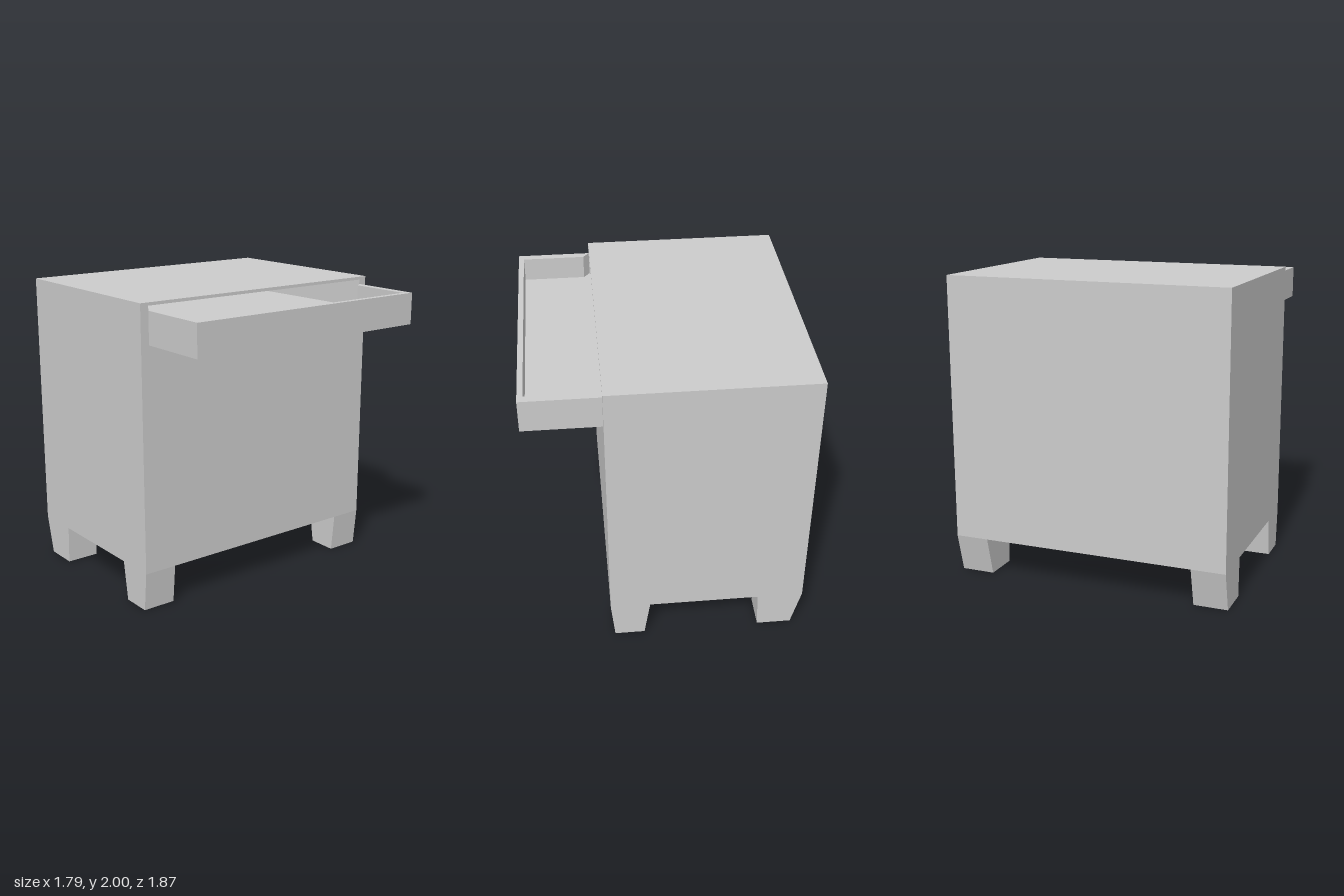
import * as THREE from 'three';

const material = new THREE.MeshStandardMaterial({ color: 0xcccccc, flatShading: true });

// Prism from a list of [x, y] corners, extruded along +z
function prism(points, depth, hole) {
  const shape = new THREE.Shape(points.map(([x, y]) => new THREE.Vector2(x, y)));
  if (hole) shape.holes.push(new THREE.Path(hole.map(([x, y]) => new THREE.Vector2(x, y))));
  return new THREE.ExtrudeGeometry(shape, { depth, bevelEnabled: false });
}

const rect = (x0, y0, x1, y1) => [[x0, y0], [x1, y0], [x1, y1], [x0, y1]];

export function createModel() {
  const group = new THREE.Group();
  const add = (name, geometry, x = 0, y = 0, z = 0) => {
    const mesh = new THREE.Mesh(geometry, material);
    mesh.name = name;
    mesh.position.set(x, y, z);
    group.add(mesh);
  };

  const left = -0.895, face = 0.405, back = -0.8, halfDepth = 0.935;
  const bottom = 0.26, top = 2;
  const drawerHalf = 0.878, drawerBase = 1.74, drawerFloor = 1.79, drawerTop = 1.95;

  // Cabinet shell, with a drawer opening that narrows towards its inner end
  const cabinet = prism(
    rect(-halfDepth, bottom, halfDepth, top), face - back,
    rect(-drawerHalf, drawerFloor, drawerHalf, 1.98));
  const p = cabinet.attributes.position;
  for (let i = 0; i < p.count; i++) {
    const inOpening = Math.abs(p.getX(i)) < 0.9 && p.getY(i) > 1.7 && p.getY(i) < 1.99;
    if (inOpening && p.getZ(i) < 0.01) {
      p.setX(i, p.getX(i) * 0.94);
      if (p.getY(i) > 1.9) p.setY(i, 1.92);
    }
  }
  cabinet.computeVertexNormals();
  cabinet.rotateY(Math.PI / 2);
  add('cabinet', cabinet, back);

  // Panel closing the inner end of the opening
  add('endPanel', new THREE.BoxGeometry(back - left, top - bottom, 2 * halfDepth),
    (left + back) / 2, (top + bottom) / 2, 0);

  // Tapered legs at the four corners
  const legWidth = 0.225;
  const profiles = {
    Right: [[-0.83, 0], [-0.6, 0], [-0.59, bottom], [left, bottom]],
    Left: [[0.18, 0], [0.38, 0], [face, bottom], [0.14, bottom]],
  };
  for (const [side, profile] of Object.entries(profiles)) {
    add('front' + side + 'Leg', prism(profile, legWidth), 0, 0, halfDepth - legWidth);
    add('back' + side + 'Leg', prism(profile, legWidth), 0, 0, -halfDepth);
  }

  // Pulled-out drawer: floor, and a rim mitred where it meets the cabinet
  const end = 0.895, inner = 0.825;
  add('drawerFloor', new THREE.BoxGeometry(end - face, drawerFloor - drawerBase, 2 * drawerHalf),
    (end + face) / 2, (drawerFloor + drawerBase) / 2, 0);
  const rim = prism([
    [face, -drawerHalf], [end, -drawerHalf], [end, drawerHalf], [face, drawerHalf],
    [0.445, inner], [0.86, inner], [0.86, -inner], [0.445, -inner],
  ], drawerTop - drawerFloor);
  rim.rotateX(-Math.PI / 2);
  add('drawerRim', rim, 0, drawerFloor, 0);

  return group;
}
